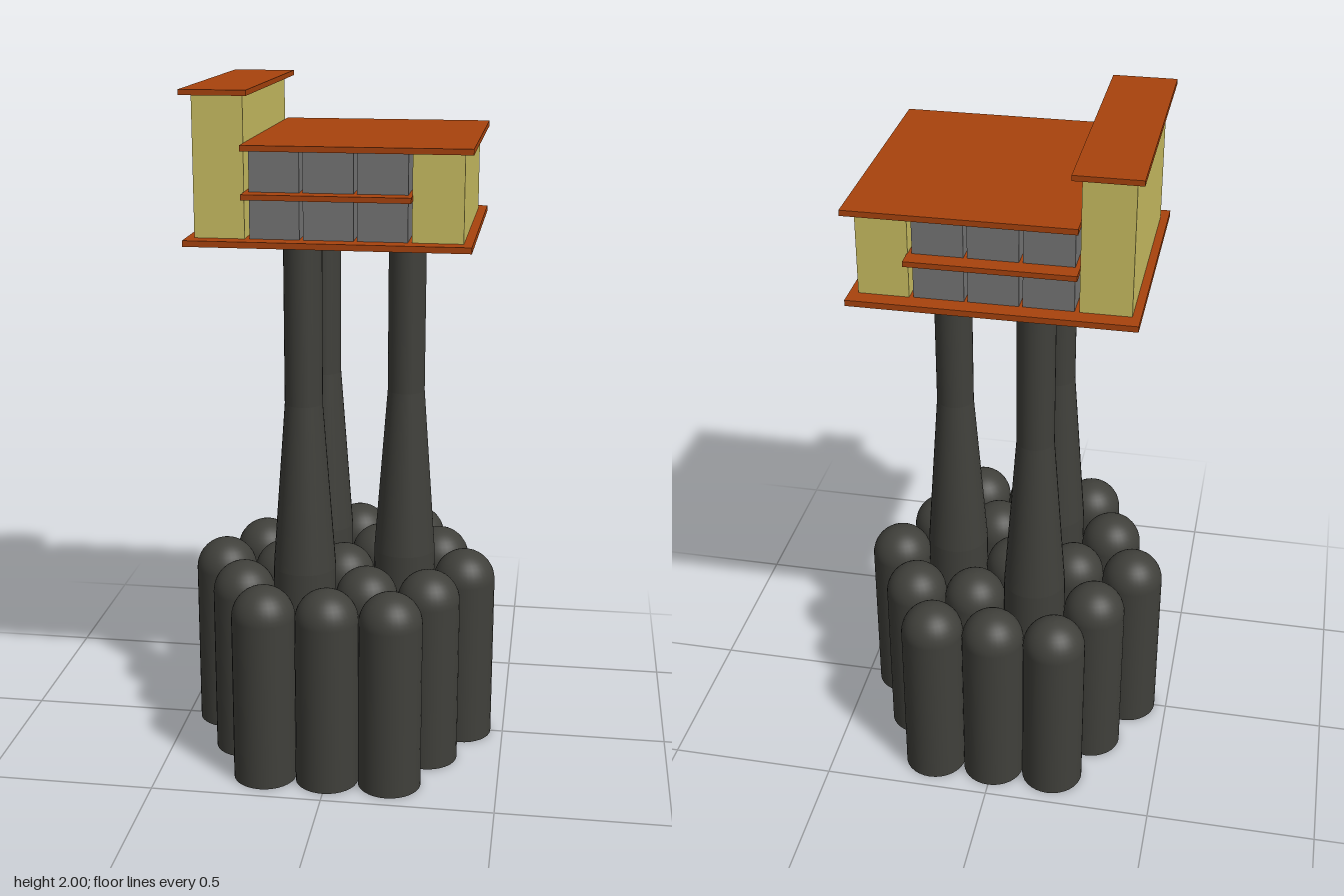
import * as THREE from 'three';

export function createModel() {
  const model = new THREE.Group();
  const material = (name, color) => {
    const m = new THREE.MeshStandardMaterial({ color });
    m.name = name;
    return m;
  };
  const stone = material('dark stone', 0x40403b);
  const wall = material('yellow wall', 0xcabe62);
  const slab = material('rust slab', 0xa8430d);
  const glass = material('grey window', 0x757575);

  const add = (name, geometry, mat, x = 0, y = 0, z = 0) => {
    const mesh = new THREE.Mesh(geometry, mat);
    mesh.name = name;
    mesh.position.set(x, y, z);
    model.add(mesh);
  };
  // Box given by its x and y limits and its half depth
  const block = (name, mat, x0, x1, y0, y1, halfZ) =>
    add(name, new THREE.BoxGeometry(x1 - x0, y1 - y0, halfZ * 2), mat, (x0 + x1) / 2, (y0 + y1) / 2);

  const R = 0.0925, STEP = 0.185, TOP = 0.6;
  const v = (x, y) => new THREE.Vector2(x, y);

  // Flat-bottomed round-topped pile: base disc and sharp-edged side with dome
  const dome = [];
  for (let i = 0; i <= 10; i++) {
    const a = (i / 10) * Math.PI / 2;
    dome.push(v(i === 10 ? 0 : R * Math.cos(a), TOP - R + R * Math.sin(a)));
  }
  const pile = new THREE.LatheGeometry([v(R, 0), ...dome], 32);
  const base = new THREE.CircleGeometry(R, 32).rotateX(Math.PI / 2);

  // Rows of 3, 4, 5, 4 and 3 piles
  [3, 4, 5, 4, 3].forEach((count, row) => {
    for (let i = 0; i < count; i++) {
      const x = (i - (count - 1) / 2) * STEP, z = (row - 2) * STEP;
      add('pile', pile, stone, x, 0, z);
      add('pileBase', base, stone, x, 0, z);
    }
  });

  // Three tapering columns rising out of the piles
  const lower = new THREE.CylinderGeometry(0.055, R, 0.5, 32, 1, true);
  const upper = new THREE.CylinderGeometry(0.055, 0.055, 0.49, 32, 1, true);
  const foot = new THREE.CylinderGeometry(R, R, 0.12, 32, 1, true);
  for (const [x, z] of [[-R, STEP], [-R, -STEP], [STEP, 0]]) {
    add('columnFoot', foot, stone, x, 0.54, z);
    add('columnTaper', lower, stone, x, 0.85, z);
    add('columnShaft', upper, stone, x, 1.345, z);
  }

  // House slabs
  block('floorSlab', slab, -0.393, 0.393, 1.58, 1.597, 0.37);
  block('balconySlab', slab, -0.23, 0.23, 1.71, 1.725, 0.37);
  block('mainRoof', slab, -0.23, 0.393, 1.84, 1.856, 0.37);
  block('towerRoof', slab, -0.393, -0.21, 1.985, 2, 0.37);

  // Walls
  block('towerWall', wall, -0.37, -0.23, 1.597, 1.985, 0.32);
  block('sideWall', wall, 0.228, 0.368, 1.597, 1.84, 0.32);

  // Window bays with narrow gaps between them
  for (let i = -1; i <= 1; i++) {
    const x = i * 0.148;
    block('windowBay', glass, x - 0.069, x + 0.069, 1.597, 1.84, 0.318);
  }
  return model;
}
